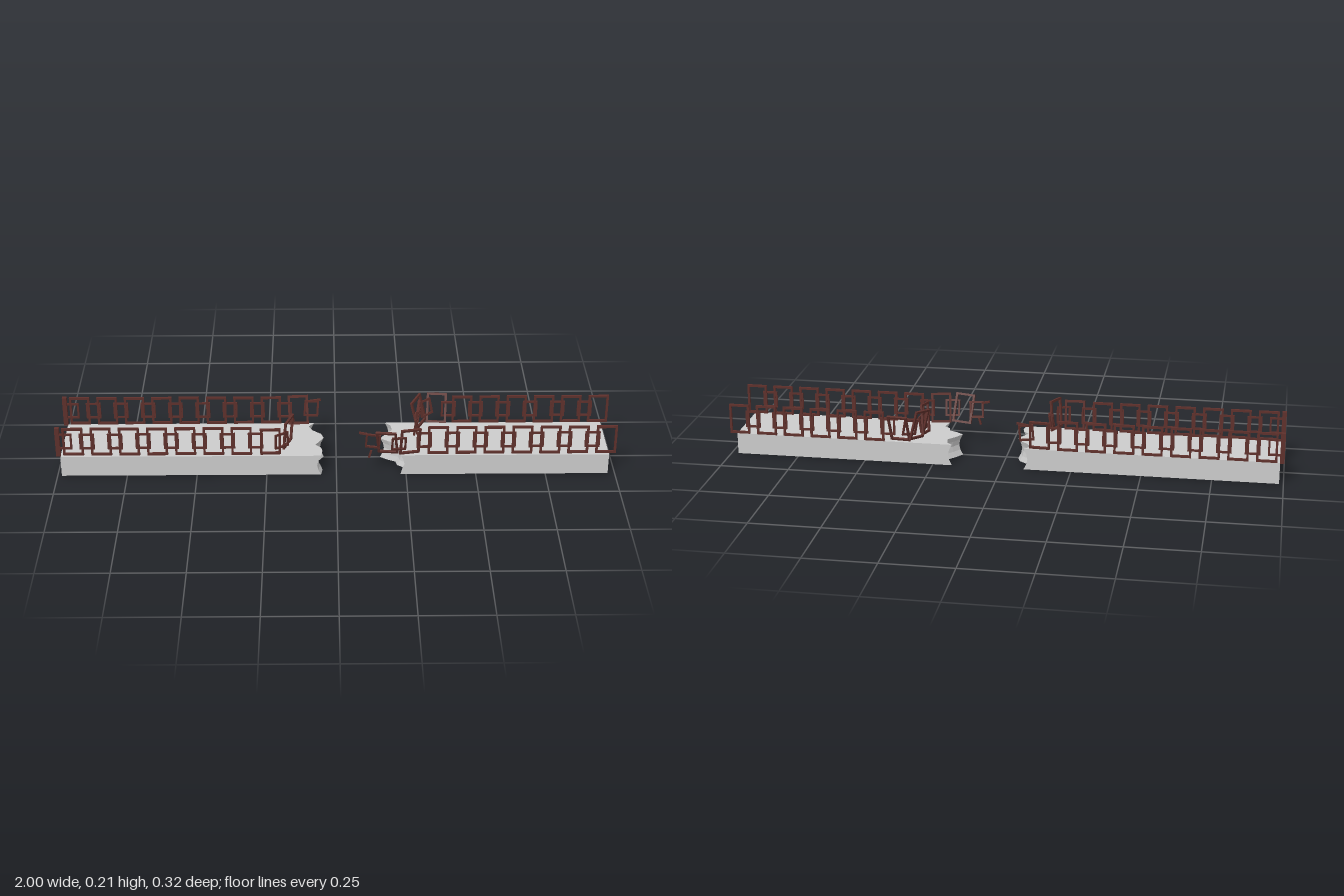
import * as THREE from 'three';

const concrete = new THREE.MeshStandardMaterial({ color: 0xcccccc, flatShading: true });
const rust = new THREE.MeshStandardMaterial({ color: 0x5e302b, flatShading: true });
const DECK = 0.078;

// Rectangular frame of square bar, centred on its own origin
function frameGeometry(w, h, bar = 0.008, depth = 0.008) {
  const rect = (P, a, b) => new P().moveTo(-a, -b).lineTo(a, -b).lineTo(a, b).lineTo(-a, b).closePath();
  const shape = rect(THREE.Shape, w / 2, h / 2);
  shape.holes.push(rect(THREE.Path, w / 2 - bar, h / 2 - bar));
  return new THREE.ExtrudeGeometry(shape, { depth, bevelEnabled: false }).translate(0, 0, -depth / 2);
}
const bigFrame = frameGeometry(0.074, 0.11);
const smallFrame = frameGeometry(0.054, 0.062, 0.007, 0.006);

// Deck half: outline seen from above, with a hollowed broken end
function deck(name, endX, edge) {
  const pts = [[endX, -0.115], ...edge, [endX, 0.124]].map(([x, z]) => new THREE.Vector2(x, -z));
  const geo = new THREE.ExtrudeGeometry(new THREE.Shape(pts), { depth: DECK, steps: 4, bevelEnabled: false });
  geo.rotateX(-Math.PI / 2);
  const p = geo.attributes.position;
  for (let i = 0; i < p.count; i++) {
    if (Math.abs(p.getX(i) - endX) < 0.01) continue;
    const hollow = 0.014 * Math.sin((Math.PI * p.getY(i)) / DECK);
    p.setX(i, p.getX(i) + Math.sign(endX) * hollow);
  }
  geo.computeVertexNormals();
  const mesh = new THREE.Mesh(geo, concrete);
  mesh.name = name;
  return mesh;
}

// Railing: straight run of linked frames from the outer end, then bent frames
// bent: [big?, x, y, z, yaw, lean, roll]
function railing(name, z, side, count, bent) {
  const rail = new THREE.Group();
  rail.name = name;
  const add = (big, x, y, fz, yaw = 0, lean = 0, roll = 0) => {
    const m = new THREE.Mesh(big ? bigFrame : smallFrame, rust);
    m.name = big ? 'largeFrame' : 'smallFrame';
    m.position.set(x, y, fz);
    m.rotation.set(lean, yaw, roll, 'YXZ');
    rail.add(m);
  };
  const start = side < 0 ? -0.938 : 0.963;
  for (let i = 0; i < count; i++) {
    const x = start - side * i * 0.1;
    add(true, x, 0.134, z);
    add(false, x - side * 0.05, 0.135, z);
  }
  if (side < 0) {
    // End post with the link frame that joins it
    const post = new THREE.Mesh(new THREE.BoxGeometry(0.016, 0.112, 0.016), rust);
    post.name = 'endPost';
    post.position.set(-0.992, 0.134, z);
    rail.add(post);
    add(false, -0.968, 0.135, z);
  }
  bent.forEach((b) => add(...b));
  return rail;
}

export function createModel() {
  const model = new THREE.Group();
  model.name = 'brokenBridge';

  model.add(deck('leftDeck', -0.985, [
    [-0.08, -0.115], [-0.1, -0.09], [-0.085, -0.06], [-0.055, -0.035], [-0.045, -0.005],
    [-0.06, 0.02], [-0.075, 0.045], [-0.055, 0.065], [-0.05, 0.09], [-0.055, 0.124],
  ]));
  model.add(deck('rightDeck', 0.975, [
    [0.18, -0.115], [0.2, -0.095], [0.205, -0.06], [0.18, -0.03], [0.16, 0],
    [0.185, 0.02], [0.215, 0.035], [0.22, 0.06], [0.24, 0.075], [0.23, 0.124],
  ]));

  model.add(railing('leftFrontRailing', 0.113, -1, 7, [
    [true, -0.235, 0.134, 0.118, 0.05, 0.12, 0],
    [false, -0.195, 0.135, 0.112, 0.5, 0.1, 0.05],
    [true, -0.172, 0.15, 0.075, 1.2, 0.1, 0.06],
    [false, -0.16, 0.135, 0.04, 1.5, 0.15, -0.1],
  ]));
  model.add(railing('leftBackRailing', -0.115, -1, 8, [
    [true, -0.138, 0.133, -0.118, 0, -0.2, 0.03],
    [false, -0.09, 0.14, -0.116, 0.1, -0.1, -0.08],
  ]));
  model.add(railing('rightFrontRailing', 0.113, 1, 7, [
    [true, 0.263, 0.134, 0.122, 0.2, 0.2, 0],
    [false, 0.222, 0.132, 0.135, 0.1, 0.3, 0],
    [true, 0.18, 0.134, 0.13, -0.15, 0.38, 0.04],
    [false, 0.13, 0.135, 0.12, -0.1, 0.2, -0.08],
  ]));
  model.add(railing('rightBackRailing', -0.115, 1, 6, [
    [true, 0.37, 0.134, -0.127, -0.1, -0.4, 0],
    [false, 0.33, 0.138, -0.12, 0.6, -0.2, 0.1],
    [true, 0.302, 0.14, -0.09, 1.05, -0.2, 0.12],
    [false, 0.298, 0.135, -0.05, 1.35, 0.1, -0.1],
    [true, 0.292, 0.145, -0.032, 1.45, 0.1, 0.15],
    [false, 0.29, 0.135, -0.008, 1.5, -0.1, 0.1],
  ]));

  // Snapped bar ends hanging off the broken railings
  [[-0.075, 0.172, -0.118, 0.04, 0.15], [0.095, 0.165, 0.118, 0.03, -0.2],
    [-0.16, 0.165, 0.018, 0.02, 0.3], [0.12, 0.088, 0.13, 0.03, 1.3]].forEach(([x, y, z, len, roll]) => {
    const bar = new THREE.Mesh(new THREE.BoxGeometry(len, 0.007, 0.007), rust);
    bar.name = 'snappedBar';
    bar.position.set(x, y, z);
    bar.rotation.z = roll;
    model.add(bar);
  });
  return model;
}
